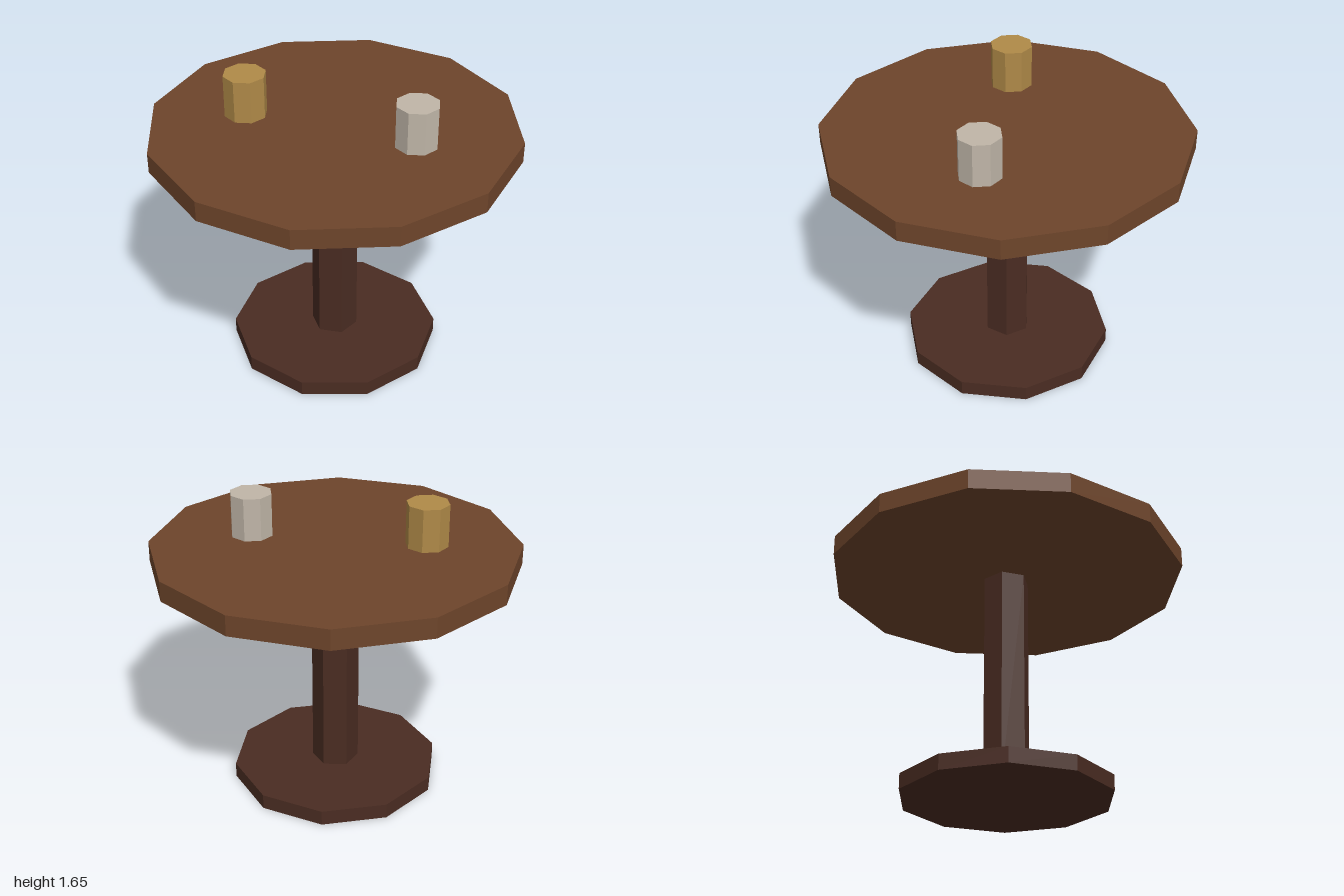
import * as THREE from 'three';

function material(name, color) {
  const m = new THREE.MeshStandardMaterial({ color, flatShading: true });
  m.name = name;
  return m;
}

export function createModel() {
  const table = new THREE.Group();
  table.name = 'tableWithCups';

  const wood = material('brown wood', 0x6e452b);
  const darkWood = material('dark wood', 0x4a2c22);
  const brass = material('brass', 0xb08a48);
  const pewter = material('pale pewter', 0xc0b6a8);

  // Upright prism from y = bottom to y = top, one corner facing +z
  function prism(name, mat, sides, radius, bottom, top, x = 0, z = 0) {
    const height = top - bottom;
    const mesh = new THREE.Mesh(new THREE.CylinderGeometry(radius, radius, height, sides), mat);
    mesh.name = name;
    mesh.position.set(x, bottom + height / 2, z);
    table.add(mesh);
  }

  // Pedestal table
  prism('base', darkWood, 10, 0.583, 0, 0.085);
  prism('pillar', darkWood, 6, 0.13, 0.085, 1.305);
  prism('tabletop', wood, 12, 1, 1.305, 1.417);

  // Cups on the tabletop
  prism('brassCup', brass, 8, 0.117, 1.417, 1.655, -0.417, -0.25);
  prism('pewterCup', pewter, 8, 0.117, 1.417, 1.655, 0.333, 0.333);

  return table;
}
